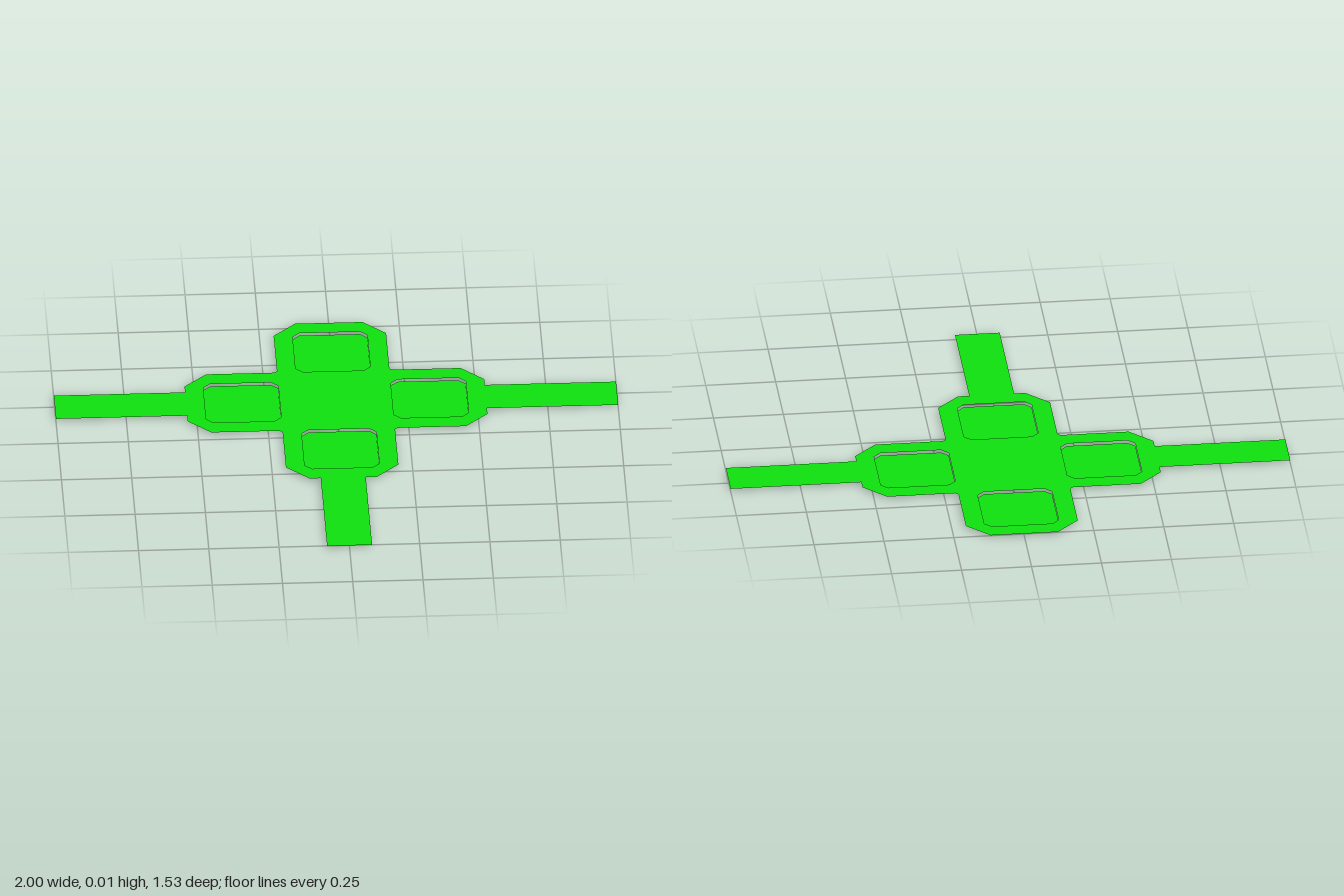
import * as THREE from 'three';

const CENTER_Z = -0.233; // middle of the cross
const PLATE_Y = 0.01;    // plate sits just above the inset panels

// Rotates a point by k quarter turns
const turn = (u, v, k) => {
  const [c, s] = [[1, 0], [0, 1], [-1, 0], [0, -1]][k];
  return new THREE.Vector2(c * u - s * v, s * u + c * v);
};

// One limb of the cross, pointing along +u, with an optional narrow strip
function limbPoints(k, hasStrip) {
  const strip = [[0.533, -0.08], [1, -0.08], [1, 0.08], [0.533, 0.08]];
  return [
    [0.21, -0.2], [0.453, -0.2], [0.533, -0.12],
    ...(hasStrip ? strip : []),
    [0.533, 0.12], [0.453, 0.2], [0.21, 0.2],
  ].map(([u, v]) => turn(u, v, k));
}

// Square with small cut corners, set inside a limb
function panelPoints(k) {
  const a = 0.2, b = 0.467, w = 0.133, c = 0.025;
  return [
    [a + c, -w], [b - c, -w], [b, -w + c], [b, w - c],
    [b - c, w], [a + c, w], [a, w - c], [a, -w + c],
  ].map(([u, v]) => turn(u, v, k));
}

export function createModel() {
  const model = new THREE.Group();
  const material = new THREE.MeshStandardMaterial({ color: 0x10e010, side: THREE.DoubleSide });

  const addFlat = (name, shape, y) => {
    const geometry = new THREE.ShapeGeometry(shape).rotateX(-Math.PI / 2);
    const mesh = new THREE.Mesh(geometry, material);
    mesh.name = name;
    mesh.position.set(0, y, CENTER_Z);
    model.add(mesh);
  };

  // Cross plate: limbs left, back, right, front; only the back has no strip
  const limbs = ['left', 'back', 'right', 'front'];
  const plate = new THREE.Shape(limbs.flatMap((name, k) => limbPoints(k, name !== 'back')));

  // A cut-out and a matching lower panel in every limb
  limbs.forEach((name, k) => {
    plate.holes.push(new THREE.Path(panelPoints(k).reverse()));
    addFlat(`${name}Panel`, new THREE.Shape(panelPoints(k)), 0);
  });
  addFlat('crossPlate', plate, PLATE_Y);

  return model;
}
